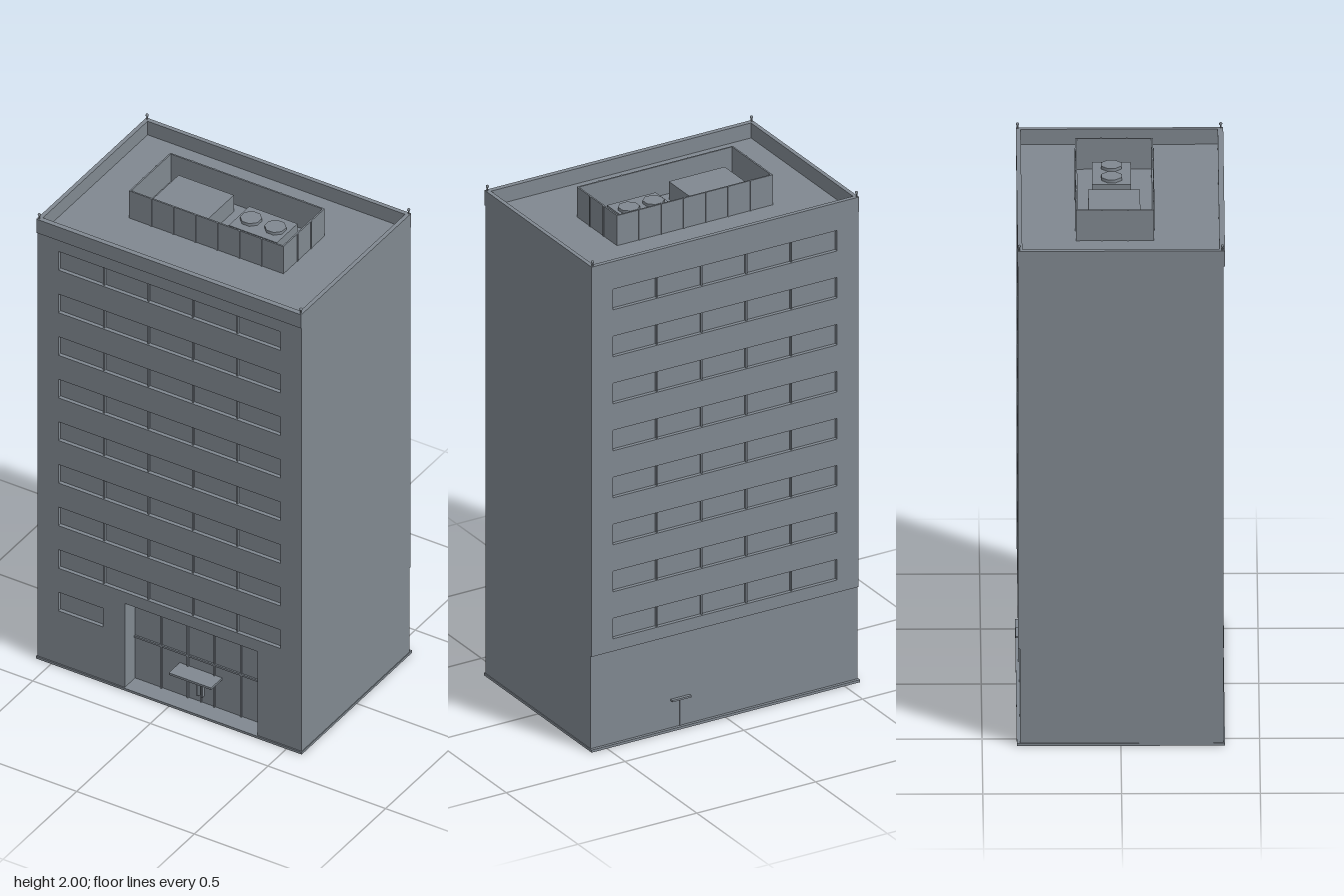
import * as THREE from 'three';

const concrete = new THREE.MeshStandardMaterial({ color: 0x808890 });
concrete.name = 'blueGrey';

const ROWS = 8, PITCH = 0.188, FIRST = 0.43, WIN_H = 0.082, WIN_X = 0.472;

function add(parent, name, geometry, x = 0, y = 0, z = 0) {
  const mesh = new THREE.Mesh(geometry, concrete);
  mesh.name = name;
  mesh.position.set(x, y, z);
  parent.add(mesh);
  return mesh;
}

// Box given by its limits on each axis
function block(parent, name, x0, x1, y0, y1, z0, z1) {
  return add(parent, name, new THREE.BoxGeometry(x1 - x0, y1 - y0, z1 - z0),
    (x0 + x1) / 2, (y0 + y1) / 2, (z0 + z1) / 2);
}

function trace(path, x0, x1, y0, y1) {
  path.moveTo(x0, y0).lineTo(x1, y0).lineTo(x1, y1).lineTo(x0, y1).closePath();
  return path;
}

// Flat slab with rectangular openings
function slab(outline, holes, depth) {
  const shape = trace(new THREE.Shape(), ...outline);
  for (const h of holes) shape.holes.push(trace(new THREE.Path(), ...h));
  return new THREE.ExtrudeGeometry(shape, { depth, bevelEnabled: false });
}

// Mullions that split each window band into five panes
function mullions(parent, z0, z1) {
  for (let r = 0; r < ROWS; r++) {
    const y = FIRST + r * PITCH;
    for (let i = 1; i < 5; i++) {
      const x = -WIN_X + i * WIN_X * 0.4;
      block(parent, 'windowMullion', x - 0.003, x + 0.003, y, y + WIN_H, z0, z1);
    }
  }
}

export function createModel() {
  const model = new THREE.Group();
  model.name = 'officeTower';

  const bands = [];
  for (let r = 0; r < ROWS; r++) {
    const y = FIRST + r * PITCH;
    bands.push([-WIN_X, WIN_X, y, y + WIN_H]);
  }
  const lobbyWindow = [-WIN_X, -0.283, 0.242, 0.324];
  const entrance = [-0.19, 0.375, 0.01, 0.38];

  // Body, base and walls
  block(model, 'core', -0.562, 0.562, 0.005, 1.88, -0.355, 0.3);
  block(model, 'plinth', -0.565, 0.565, 0, 0.01, -0.375, 0.375);
  add(model, 'frontWall', slab([-0.562, 0.562, 0.005, 1.88], [...bands, lobbyWindow, entrance], 0.07), 0, 0, 0.3);
  add(model, 'backWall', slab([-0.562, 0.562, 0.38, 1.88], bands, 0.015), 0, 0, -0.37);
  block(model, 'backGroundWall', -0.562, 0.562, 0.005, 0.38, -0.363, -0.355);

  // Window panes and mullions
  for (const [x0, x1, y0, y1] of [...bands, lobbyWindow]) {
    block(model, 'windowBand', x0, x1, y0, y1, 0.348, 0.355);
  }
  mullions(model, 0.35, 0.364);
  mullions(model, -0.364, -0.35);

  // Recessed glazed entrance
  const entry = new THREE.Group();
  entry.name = 'entrance';
  model.add(entry);
  for (let i = 1; i < 5; i++) {
    const x = -0.19 + i * 0.113;
    block(entry, 'entranceMullion', x - 0.003, x + 0.003, 0.01, 0.38, 0.298, 0.306);
  }
  block(entry, 'transom', -0.19, 0.375, 0.192, 0.2, 0.298, 0.306);
  block(entry, 'entranceCanopy', 0, 0.18, 0.14, 0.149, 0.298, 0.375);
  block(entry, 'doorSplit', 0.09, 0.094, 0.01, 0.14, 0.298, 0.304);
  for (const x of [0.083, 0.101]) {
    block(entry, 'doorHandle', x - 0.003, x + 0.003, 0.04, 0.1, 0.3, 0.313);
  }

  // Back service door
  block(model, 'backDoorCanopy', 0.145, 0.225, 0.117, 0.124, -0.376, -0.36);
  block(model, 'backDoorSplit', 0.183, 0.187, 0.01, 0.117, -0.366, -0.36);

  // Parapet with a slightly proud front fascia
  const parapet = add(model, 'parapet',
    slab([-0.563, 0.563, -0.375, 0.372], [[-0.547, 0.547, -0.355, 0.355]], 0.06), 0, 1.88, 0);
  parapet.rotation.x = -Math.PI / 2;

  // Corner lights
  for (const x of [-0.556, 0.556]) for (const z of [-0.366, 0.366]) {
    add(model, 'cornerLightPole', new THREE.CylinderGeometry(0.003, 0.003, 0.022, 8), x, 1.947, z);
    add(model, 'cornerLight', new THREE.SphereGeometry(0.006, 8, 6), x, 1.957, z);
  }

  // Open plant screen on the roof
  const plant = new THREE.Group();
  plant.name = 'roofPlant';
  model.add(plant);
  const X0 = -0.328, X1 = 0.328, Z0 = -0.16, Z1 = 0.12;
  const screen = add(plant, 'plantScreen',
    slab([X0, X1, -Z1, -Z0], [[X0 + 0.006, X1 - 0.006, -Z1 + 0.006, -Z0 - 0.006]], 0.12), 0, 1.88, 0);
  screen.rotation.x = -Math.PI / 2;
  const post = new THREE.BoxGeometry(0.006, 0.12, 0.006);
  for (let i = 1; i < 7; i++) {
    for (const z of [Z0, Z1]) add(plant, 'screenPost', post, X0 + i * (X1 - X0) / 7, 1.94, z);
  }
  for (let i = 1; i < 3; i++) {
    for (const x of [X0, X1]) add(plant, 'screenPost', post, x, 1.94, Z0 + i * (Z1 - Z0) / 3);
  }

  // Lift room and cooling unit with two fans
  block(plant, 'liftRoom', -0.265, -0.03, 1.88, 1.952, -0.115, 0.072);
  block(plant, 'coolingUnit', 0.045, 0.25, 1.88, 1.94, -0.1, 0.04);
  for (const x of [0.096, 0.2]) {
    const fan = add(plant, 'coolingFan', new THREE.CylinderGeometry(0.04, 0.04, 0.014, 8), x, 1.945, -0.03);
    fan.rotation.y = Math.PI / 8;
  }
  return model;
}
